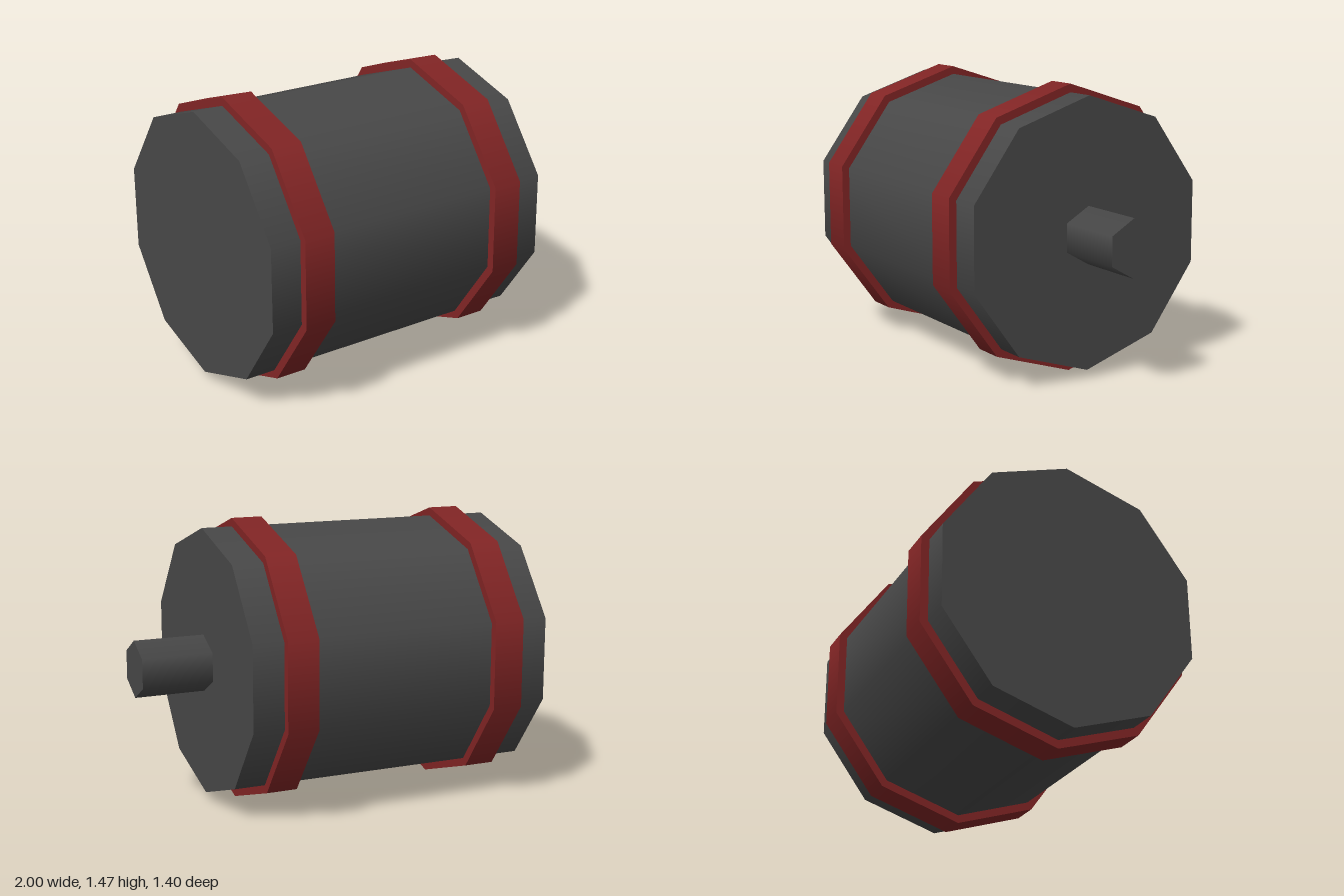
import * as THREE from 'three';

const CENTRE_Y = 0.735;

export function createModel() {
  const model = new THREE.Group();
  const darkGrey = new THREE.MeshStandardMaterial({ color: 0x484848 });
  darkGrey.name = 'darkGrey';
  const deepRed = new THREE.MeshStandardMaterial({ color: 0x822525 });
  deepRed.name = 'deepRed';

  // Prism lying along x from x0 to x1, with a corner pointing straight up
  function addPrism(name, radius, sides, x0, x1, material) {
    const geometry = new THREE.CylinderGeometry(radius, radius, x1 - x0, sides, 1, false, Math.PI / 2);
    geometry.rotateZ(-Math.PI / 2);
    const mesh = new THREE.Mesh(geometry, material);
    mesh.name = name;
    mesh.position.set((x0 + x1) / 2, CENTRE_Y, 0);
    model.add(mesh);
  }

  // Ten-sided drum with a six-sided shaft at one end
  addPrism('drum', 0.692, 10, -1, 0.63, darkGrey);
  addPrism('shaft', 0.147, 6, 0.63, 1, darkGrey);

  // Raised bands around the drum
  addPrism('outerBand', 0.735, 10, -0.84, -0.677, deepRed);
  addPrism('shaftBand', 0.735, 10, 0.305, 0.468, deepRed);

  return model;
}
